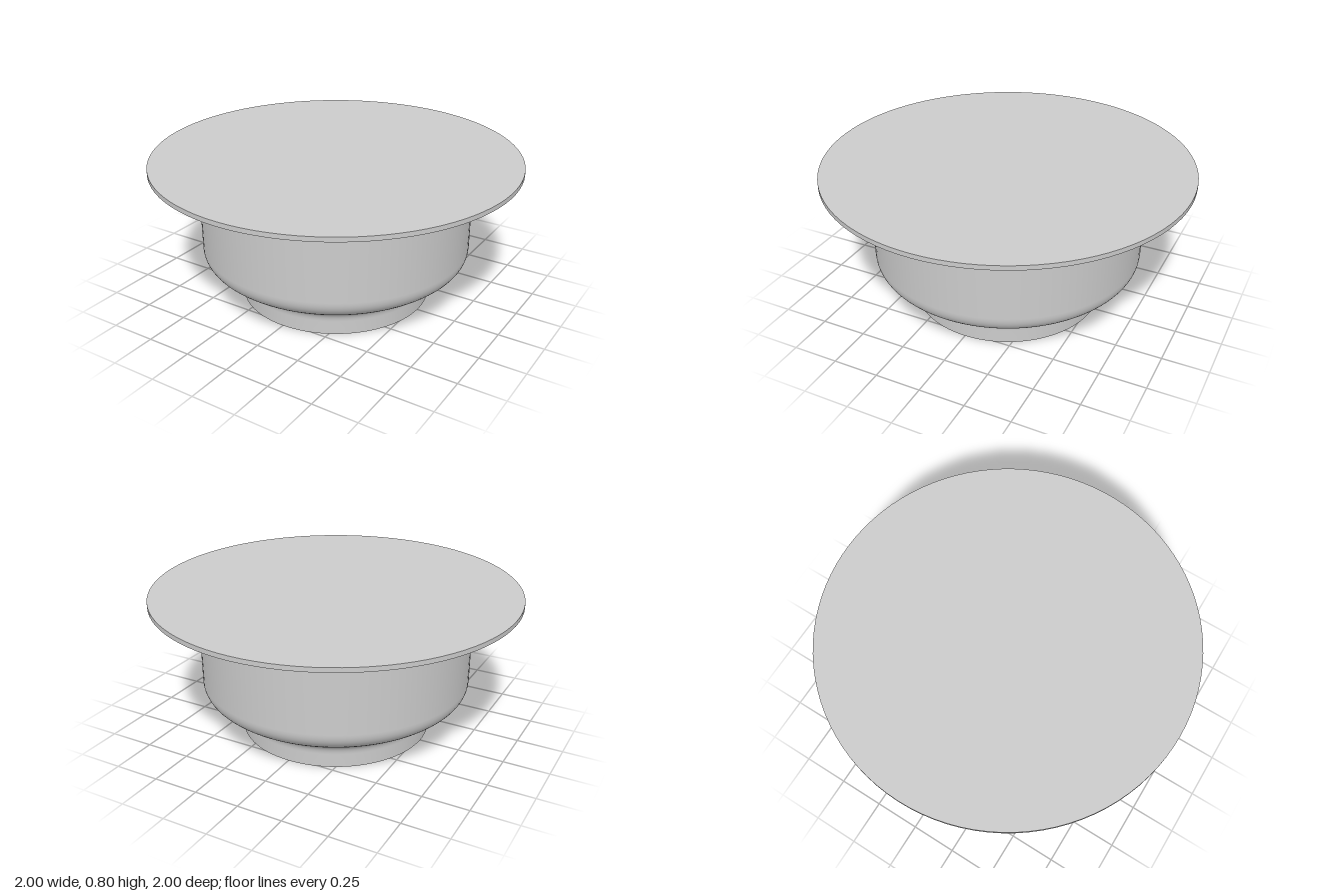
import * as THREE from 'three';
import { toCreasedNormals } from 'three/addons/utils/BufferGeometryUtils.js';

const SEGMENTS = 96;
const FOOT_RADIUS = 0.527;
const BODY_RADIUS = 0.74;
const POCKET_DEPTH = 0.03;
const LID_BOTTOM = 0.772;
const TOP = 0.797;

export function createModel() {
  const model = new THREE.Group();
  const material = new THREE.MeshStandardMaterial({ color: 0xcccccc });

  const add = (name, geometry, y = 0) => {
    const mesh = new THREE.Mesh(geometry, material);
    mesh.name = name;
    mesh.position.y = y;
    model.add(mesh);
  };

  // Turned body: straight foot, sloped shoulder with soft bends, straight wall
  const profile = new THREE.Path();
  profile.moveTo(FOOT_RADIUS, POCKET_DEPTH);
  profile.lineTo(FOOT_RADIUS, 0.075);
  profile.quadraticCurveTo(FOOT_RADIUS, 0.115, 0.555, 0.132);
  profile.lineTo(0.655, 0.193);
  profile.bezierCurveTo(0.71, 0.225, BODY_RADIUS, 0.255, BODY_RADIUS, 0.31);
  profile.lineTo(BODY_RADIUS, LID_BOTTOM);
  add('body', new THREE.LatheGeometry(profile.getPoints(10), SEGMENTS));

  // Foot plate with a half-round pocket cut into its underside
  const plate = new THREE.Shape().absarc(0, 0, FOOT_RADIUS, 0, Math.PI * 2);
  const pocket = new THREE.Path();
  pocket.absarc(0.27, -0.18, 0.1, Math.PI, Math.PI * 2);
  pocket.closePath();
  plate.holes.push(pocket);
  const foot = new THREE.ExtrudeGeometry(plate, {
    depth: POCKET_DEPTH, bevelEnabled: false, curveSegments: SEGMENTS / 2,
  });
  foot.rotateX(-Math.PI / 2);
  add('footPlate', toCreasedNormals(foot, 0.6));

  // Closed end of the pocket
  const ceiling = new THREE.CircleGeometry(FOOT_RADIUS, SEGMENTS);
  ceiling.rotateX(Math.PI / 2);
  add('pocketCeiling', ceiling, POCKET_DEPTH);

  // Thin overhanging lid
  const thickness = TOP - LID_BOTTOM;
  add('lid', new THREE.CylinderGeometry(1, 1, thickness, SEGMENTS), LID_BOTTOM + thickness / 2);

  return model;
}
